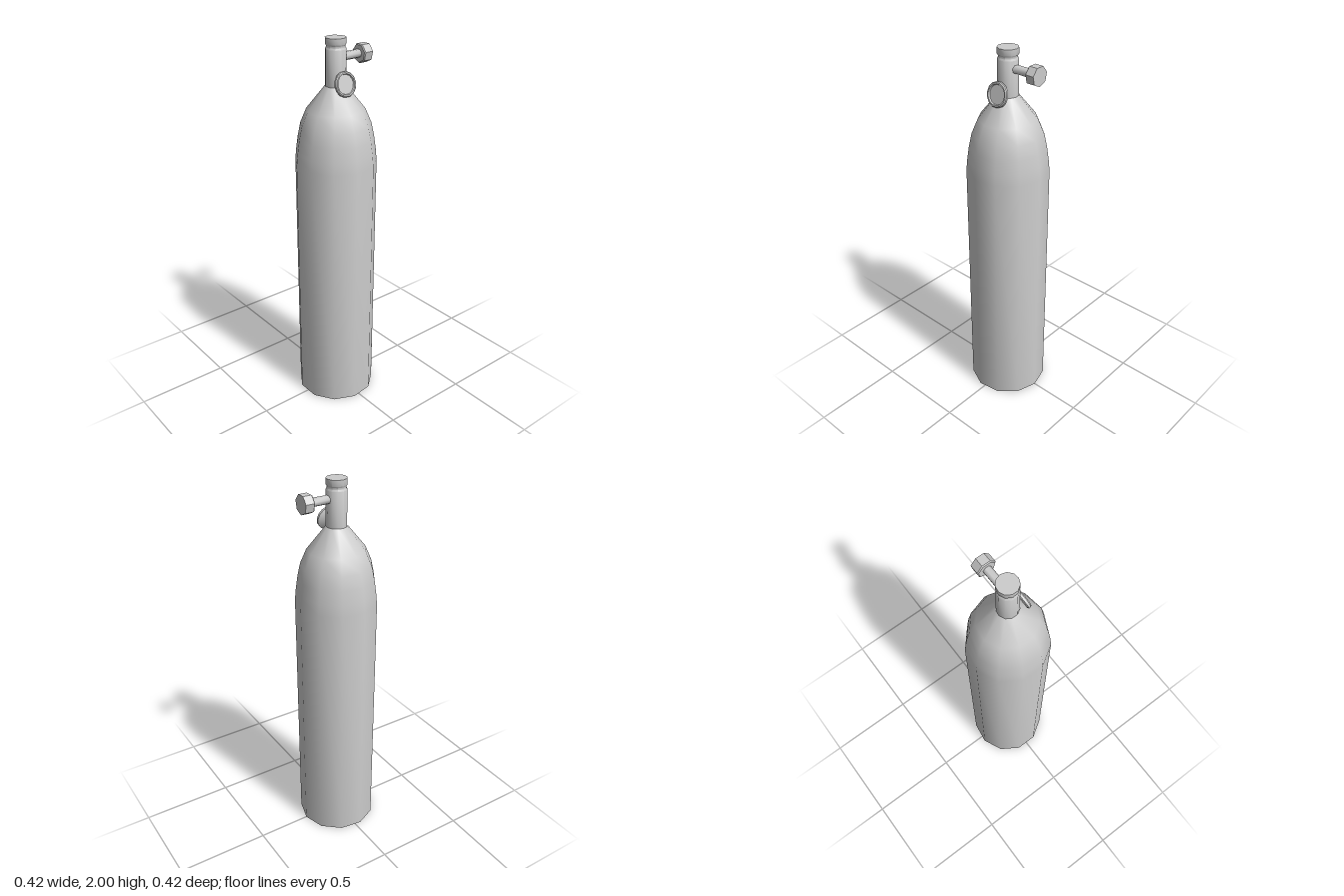
import * as THREE from 'three';
import { toCreasedNormals } from 'three/addons/utils/BufferGeometryUtils.js';

const material = new THREE.MeshStandardMaterial({ color: 0xcccccc });
const AXIS_Z = 0.003;

// Revolves a [radius, height] profile, with one corner at the back
function turned(name, profile, sides, crease = 0.7) {
  const points = profile.map(([r, y]) => new THREE.Vector2(r, y));
  const lathe = new THREE.LatheGeometry(points, sides, Math.PI);
  const mesh = new THREE.Mesh(toCreasedNormals(lathe, crease), material);
  mesh.name = name;
  mesh.position.z = AXIS_Z;
  return mesh;
}

export function createModel() {
  const model = new THREE.Group();
  model.name = 'gasCylinder';

  // Tank with a flat base and rounded shoulder
  const tank = turned('tank', [
    [0, 0], [0.213, 0], [0.213, 1.37], [0.207, 1.43], [0.197, 1.5],
    [0.182, 1.57], [0.15, 1.645], [0.054, 1.765],
  ], 11);

  // Neck with a groove below its flat top
  const neck = turned('neck', [
    [0.053, 1.76], [0.053, 1.945], [0.048, 1.953], [0.048, 1.962],
    [0.053, 1.969], [0.053, 2], [0, 2],
  ], 11);

  // Valve knob on a stem, pointing backward
  const valve = new THREE.Group();
  valve.name = 'valve';
  const stem = turned('valveStem', [[0.022, 0.03], [0.022, 0.15]], 7, 1);
  const knob = turned('valveKnob', [
    [0, 0.143], [0.045, 0.143], [0.05, 0.148], [0.05, 0.194], [0, 0.194],
  ], 7);
  for (const part of [stem, knob]) {
    part.position.z = 0;
    valve.add(part);
  }
  valve.rotation.x = -Math.PI / 2;
  valve.position.y = 1.902;

  // Gauge on the left of the neck: raised rim, recessed dial, tilted upward
  const gauge = turned('gauge', [
    [0, -0.01], [0.056, -0.01], [0.063, -0.005], [0.063, 0.006],
    [0.058, 0.011], [0.051, 0.011], [0.048, 0.003], [0, 0.003],
  ], 14);
  gauge.rotation.z = THREE.MathUtils.degToRad(-76);
  gauge.position.set(0.074, 1.785, AXIS_Z);

  model.add(tank, neck, valve, gauge);
  return model;
}
